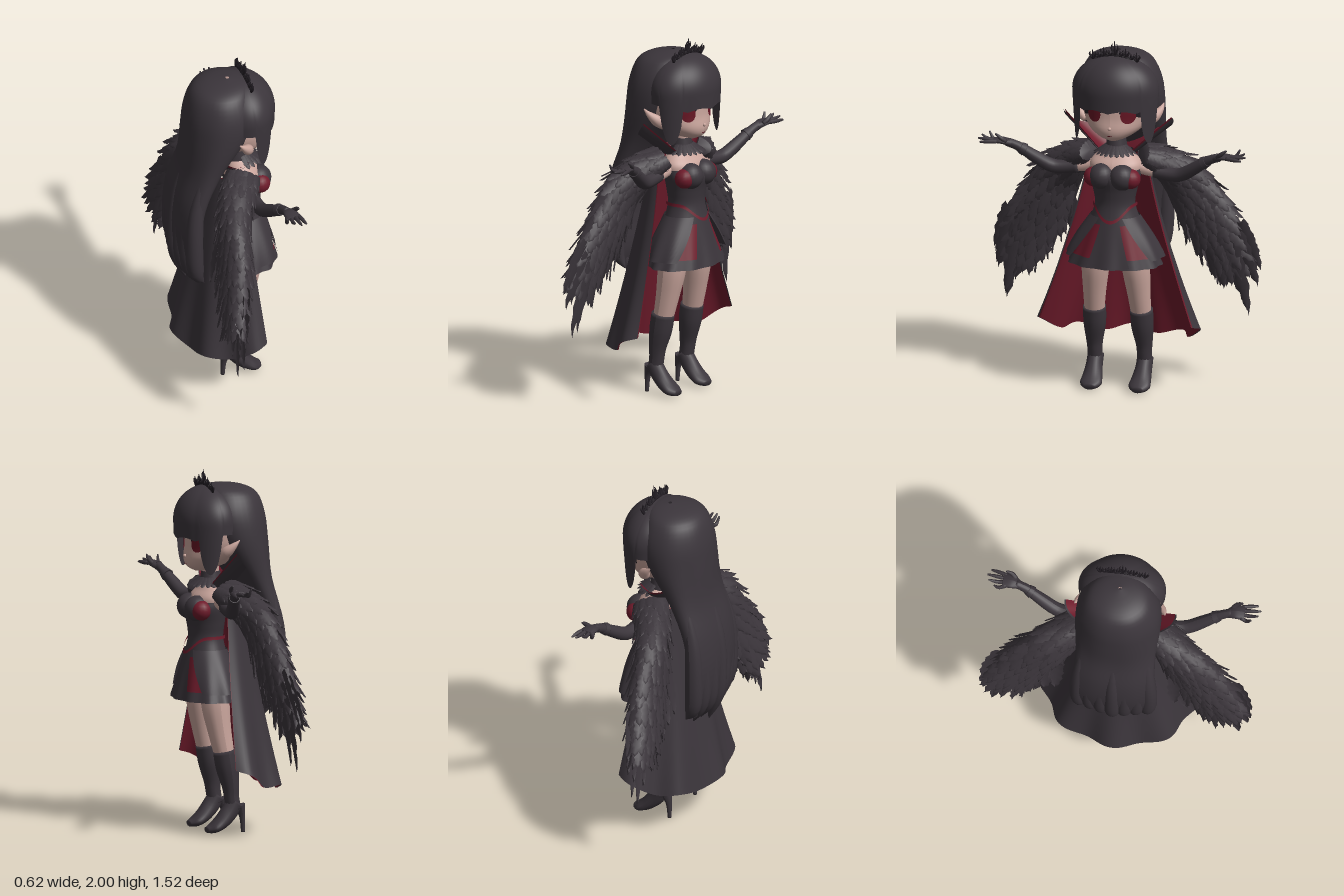
import * as THREE from 'three';
import { mergeGeometries } from 'three/addons/utils/BufferGeometryUtils.js';

const V = (x, y, z) => new THREE.Vector3(x, y, z);
const { sin, cos, abs, max, min, sqrt, pow, PI } = Math;
const material = (name, color) =>
  Object.assign(new THREE.MeshStandardMaterial({ color, side: THREE.DoubleSide }), { name });

// small seeded jitter
let seed = 7;
const rnd = () => ((seed = (seed * 16807) % 2147483647) / 2147483647) - 0.5;

// surface from a rule fn(u, v) -> Vector3, u and v in 0..1
function grid(nu, nv, fn) {
  const pos = [], idx = [];
  for (let j = 0; j <= nv; j++) for (let i = 0; i <= nu; i++) pos.push(...fn(i / nu, j / nv).toArray());
  for (let j = 0; j < nv; j++) for (let i = 0; i < nu; i++) {
    const a = j * (nu + 1) + i, b = a + nu + 1;
    idx.push(a, b, a + 1, b, b + 1, a + 1);
  }
  const g = new THREE.BufferGeometry();
  g.setAttribute('position', new THREE.Float32BufferAttribute(pos, 3));
  g.setIndex(idx);
  g.computeVertexNormals();
  return g;
}

// smooth interpolation through rows of numbers, all rows equally long
function sample(rows, t) {
  const n = rows.length - 1, i = min(n - 1, Math.floor(t * n)), f = t * n - i;
  const at = k => rows[max(0, min(n, k))];
  return rows[i].map((b, c) => {
    const a = at(i - 1)[c], d = at(i + 1)[c], e = at(i + 2)[c];
    return b + 0.5 * f * (d - a + f * (2 * a - 5 * b + 4 * d - e + f * (3 * (b - d) + e - a)));
  });
}

// stack of horizontal ellipses, rows [y, centreZ, radiusX, radiusZ]
const loft = (rows, ripple = () => 1, nv = 24) => grid(40, nv, (u, v) => {
  const [y, cz, rx, rz] = sample(rows, v), a = u * 2 * PI, k = ripple(a, v);
  return V(max(rx, 0.001) * sin(a) * k, y, cz + max(rz, 0.001) * cos(a) * k);
});

// tube along rows [x, y, z, radius, optional second radius], with closed ends
function frame(path, t, ref) {
  const rows = path.map(([x, y, z, a, b = a]) => [x, y, z, a, b]), at = s => sample(rows, max(0, min(1, s)));
  const [x, y, z, ra, rb] = at(t), T = V(...at(t + 0.01)).sub(V(...at(t - 0.01))).normalize();
  const N = ref.clone().cross(T).normalize();
  return { c: V(x, y, z), T, N, B: T.clone().cross(N), ra: max(ra, 0.001), rb: max(rb, 0.001) };
}
const sweep = (rows, ref = V(0, 0, 1), nu = 14, nv = 16) => grid(nu, nv + 2, (u, w) => {
  const f = frame(rows, min(1, max(0, (w * (nv + 2) - 1) / nv)), ref), a = u * 2 * PI, k = w === 0 || w === 1 ? 0 : 1;
  return f.c.addScaledVector(f.N, f.ra * cos(a) * k).addScaledVector(f.B, f.rb * sin(a) * k);
});

// one ragged feather with a raised quill
function feather(pos, dir, normal, len, wid) {
  const d = dir.clone().normalize(), s = normal.clone().cross(d).normalize(), n = d.clone().cross(s);
  return grid(2, 8, (u, v) => {
    const w = wid * (v === 1 ? 0 : pow(sin(PI * (0.18 + 0.8 * v)), 0.6)) * (Math.round(v * 8) % 2 ? 1 : 0.72);
    return pos.clone().addScaledVector(d, len * (v - (u === 0.5 ? 0 : 0.05)))
      .addScaledVector(s, (u - 0.5) * 2 * w).addScaledVector(n, u === 0.5 ? wid * 0.25 : 0);
  });
}

export function createModel() {
  const black = material('charcoal cloth', 0x3b353b), red = material('deep red', 0x6e1b2b);
  const skin = material('skin', 0xc9a59c), dark = material('eyelash black', 0x211c22), eyeRed = material('eye red', 0x661523);
  const body = new THREE.Group();
  body.name = 'figure';
  const add = (name, geo, mat, parent = body) => parent.add(Object.assign(new THREE.Mesh(geo, mat), { name }));

  // head
  const headRows = [[1.44, 0.17, 0.02, 0.02], [1.465, 0.145, 0.085, 0.09], [1.51, 0.105, 0.15, 0.145], [1.57, 0.075, 0.185, 0.165],
    [1.63, 0.065, 0.2, 0.172], [1.72, 0.06, 0.2, 0.17], [1.82, 0.05, 0.15, 0.13], [1.88, 0.05, 0.01, 0.01]];
  add('head', loft(headRows), skin);
  const faceZ = (x, y) => {
    let lo = 0, hi = 1;
    for (let i = 0; i < 20; i++) { const m = (lo + hi) / 2; if (sample(headRows, m)[0] < y) lo = m; else hi = m; }
    const [, cz, rx, rz] = sample(headRows, lo);
    return cz + rz * sqrt(max(0, 1 - (x / rx) ** 2));
  };
  const facePatch = (cx, cy, rx, ry, off, from = 0, to = 2 * PI) => grid(24, 4, (u, v) => {
    const a = from + (to - from) * u, x = cx + rx * v * cos(a), y = cy + ry * v * sin(a);
    return V(x, y, faceZ(x, y) + off);
  });
  add('nose', new THREE.SphereGeometry(0.01, 10, 8).translate(0, 1.525, 0.252), skin);
  add('mouth', facePatch(0, 1.482, 0.014, 0.003, 0.004), eyeRed);

  // long back hair with hanging locks
  add('backHair', loft([[1.922, 0.04, 0.01, 0.01], [1.905, 0.025, 0.11, 0.11], [1.86, 0.005, 0.18, 0.165], [1.75, 0, 0.228, 0.2],
    [1.6, -0.035, 0.237, 0.18], [1.4, -0.12, 0.222, 0.11], [1.2, -0.195, 0.225, 0.085], [1, -0.22, 0.23, 0.075],
    [0.8, -0.21, 0.215, 0.06], [0.7, -0.2, 0.17, 0.02]], (a, v) => 1 + 0.035 * v * (abs(sin(a * 4)) - 0.5), 36), black);
  for (let i = -3; i <= 3; i++) {
    const x = i * 0.062, z = 0.014 * abs(i), e = 0.61 + 0.018 * abs(i) + 0.02 * (i & 1);
    add('hairLock', sweep([[x * 0.9, 1.45, -0.18 + z, 0.02], [x, 1.2, -0.245 + z, 0.042], [x * 1.05, 0.98, -0.262 + z, 0.048],
      [x, 0.78, -0.25 + z, 0.044], [x * 0.93, e, -0.2 + z, 0.003]]), black);
  }
  // fringe and face-framing locks
  add('frontHair', grid(64, 24, (u, v) => {
    const a = (u - 0.5) * 3.8, d = abs(a), lock = max(0, sin((d - 0.85) / 0.65 * PI));
    const end = d < 0.85 ? 1.622 + 0.015 * abs(sin(a * 4.5)) : d < 1.5 ? 1.62 - 0.18 * sqrt(lock) : 1.66;
    const y = 1.912 - (1.912 - end) * pow(v, 1.35);
    const k = y > 1.72 ? sqrt(max(0, 1 - ((y - 1.72) / 0.192) ** 2)) : 1 - 0.35 * pow(1.72 - y, 1.2);
    const r = k * (0.97 + 0.04 * abs(sin(a * 2.25 + PI / 2)));
    return V(0.24 * r * sin(a), y, 0.115 + 0.185 * r * cos(a));
  }), black);

  // tiara
  add('tiaraBand', sweep([[-0.17, 1.84], [-0.09, 1.895], [0, 1.915], [0.09, 1.895], [0.17, 1.84]].map(p => [...p, 0.135, 0.007]), V(0, 0, 1), 6), dark);
  for (let i = -4; i <= 4; i++) for (const s of [-1, 0, 1]) {
    const x = i * 0.031, y = 1.91 - 1.6 * x * x, h = i === 0 ? 0.09 : i % 2 ? 0.038 : 0.058;
    add('tiaraSpike', sweep([[x, y, 0.135, 0.006], [x + s * 0.018, y + h * 0.5, 0.14, 0.006],
      [x + s * 0.012, y + (s ? h * 0.8 : h), 0.145, 0.001]], V(0, 0, 1), 6, 4), dark);
  }

  // neck, chest and bodice
  add('chest', loft([[1.47, 0.1, 0.045, 0.045], [1.39, 0.1, 0.048, 0.05], [1.345, 0.1, 0.11, 0.07], [1.29, 0.115, 0.145, 0.095], [1.2, 0.12, 0.12, 0.09]]), skin);
  add('bodice', loft([[1.275, 0.125, 0.142, 0.1], [1.23, 0.135, 0.143, 0.115], [1.15, 0.13, 0.122, 0.102],
    [1.07, 0.13, 0.112, 0.095], [0.97, 0.13, 0.145, 0.115]]), black);
  add('choker', new THREE.CylinderGeometry(0.052, 0.064, 0.07, 20).translate(0, 1.4, 0.1), black);
  const ruff = [];
  for (let a = -1.4; a < 1.5; a += 0.28) {
    const o = V(sin(a), 0, cos(a));
    ruff.push(feather(V(o.x * 0.055, 1.4, 0.105 + o.z * 0.055), V(o.x, -0.7, o.z), o, 0.085, 0.022));
  }
  add('neckRuff', mergeGeometries(ruff), black);

  // standing collar: dark outside, red lining
  const collar = off => grid(40, 8, (u, v) => {
    const w = u * 2 - 1, lo = V(0.1 * sin(w * 2.3), 1.35, 0.07 - 0.1 * cos(w * 2.3));
    const hi = V(0.31 * sin(w * 1.6), 1.46 + 0.1 * abs(w) ** 3, 0.06 - 0.12 * cos(w * 1.6));
    return lo.lerp(hi, v).add(V(-off * sin(w * 1.6), off * 0.6, off * cos(w * 1.6)));
  });
  add('collarOuter', collar(0), black);
  add('collarLining', collar(0.008), red);

  // skirt layers share one flaring rule; angle 0 is the front
  const skirt = (a, t, off) => {
    const w = 1 + 0.025 * t * cos(a * 11);
    return V((0.125 + 0.115 * t + off) * sin(a) * w, 1.01 - 0.24 * t, 0.13 + (0.102 + 0.06 * t + off) * cos(a) * w);
  };
  add('underskirt', grid(72, 8, (u, v) => skirt(u * 2 * PI, v, 0)), red);
  add('skirtFrill', grid(72, 3, (u, v) => skirt(u * 2 * PI, 0.93 + v * 0.22, 0.004)), black);
  add('frontPanel', grid(16, 8, (u, v) => skirt((u - 0.5) * (0.7 + 0.25 * v), v * 1.1, 0.01)), black);
  add('sidePanels', grid(60, 10, (u, v) => {
    const s = 0.5 + 0.5 * v, a = s + u * (2 * PI - 2 * s);
    return skirt(a, v * 0.95, 0.012 + 0.03 * sin(v * PI * 0.6) * abs(sin(a)));
  }), black);
  add('belt', grid(48, 2, (u, v) => {
    const a = u * 2 * PI, y = 1.085 - 0.085 * pow(max(0, cos(a)), 4) - 0.018 * v, f = 0.008 + max(0, 1.07 - y) * 0.26;
    return V((0.114 + f) * sin(a), y, 0.13 + (0.096 + f) * cos(a));
  }), red);

  // trailing cape with red lining
  const cape = off => grid(72, 24, (u, t) => {
    const w = u * 2 - 1, a = w * 1.62, fold = 1 + 0.05 * t * t * cos(a * 9), hem = 0.25 + 0.14 * abs(w) ** 3 + 0.015 * cos(a * 9);
    const R = (0.17 + 0.275 * pow(t, 1.25)) * fold - off, D = (0.12 + 0.25 * t) * fold - off;
    return V(R * sin(a), 1.32 - (1.32 - hem) * t, 0.06 + 0.04 * t - D * cos(a));
  });
  add('capeOuter', cape(0), black);
  add('capeLining', cape(0.008), red);

  // everything that exists on both sides
  for (const [name, mirror] of [['leftSide', 1], ['rightSide', -1]]) {
    const g = new THREE.Group(), put = (n, geo, mat) => add(n, geo, mat, g);
    g.name = name;
    g.scale.x = mirror;
    body.add(g);
    put('iris', facePatch(0.096, 1.597, 0.04, 0.044, 0.004), eyeRed);
    put('upperLash', facePatch(0.108, 1.602, 0.06, 0.052, 0.002, -0.5, PI * 0.95), dark);
    put('ear', sweep([[0.17, 1.53, 0.1, 0.022, 0.025], [0.21, 1.565, 0.085, 0.03, 0.032], [0.238, 1.6, 0.055, 0.018], [0.25, 1.632, 0.025, 0.002]]), skin);
    put('bustCup', new THREE.SphereGeometry(0.072, 20, 14).translate(0.058, 1.238, 0.2), black);
    put('bustSide', new THREE.SphereGeometry(0.055, 16, 12).translate(0.105, 1.232, 0.195), red);
    // leg and heeled boot
    put('leg', sweep([[0.105, 0.82, 0.12, 0.08], [0.115, 0.7, 0.115, 0.078], [0.125, 0.56, 0.095, 0.065], [0.133, 0.42, 0.068, 0.055]]), skin);
    put('bootShaft', sweep([[0.133, 0.455, 0.07, 0.064], [0.135, 0.36, 0.055, 0.063], [0.14, 0.26, 0.038, 0.048],
      [0.14, 0.2, 0.032, 0.042], [0.14, 0.13, 0.02, 0.042]]), black);
    put('bootFoot', sweep([[0.14, 0.17, 0.012, 0.045], [0.14, 0.115, 0.045, 0.048, 0.046], [0.138, 0.062, 0.092, 0.04, 0.055],
      [0.137, 0.03, 0.14, 0.028, 0.06], [0.137, 0.02, 0.178, 0.016, 0.03]], V(1, 0, 0)), black);
    put('bootHeel', sweep([[0.14, 0.15, -0.012, 0.034], [0.14, 0.09, -0.03, 0.017], [0.14, 0, -0.036, 0.011]]), black);
    // arm, glove and hand
    put('upperArm', sweep([[0.12, 1.28, 0.1, 0.036], [0.18, 1.265, 0.1, 0.034], [0.25, 1.255, 0.1, 0.032]]), skin);
    put('glove', sweep([[0.215, 1.258, 0.1, 0.035], [0.3, 1.248, 0.105, 0.037], [0.37, 1.255, 0.115, 0.038], [0.46, 1.31, 0.143, 0.034],
      [0.54, 1.365, 0.168, 0.026], [0.6, 1.388, 0.18, 0.024]]), black);
    put('gloveCuff', sweep([[0.505, 1.343, 0.157, 0.036], [0.53, 1.358, 0.165, 0.03]]), black);
    put('palm', sweep([[0.575, 1.38, 0.176, 0.02, 0.024], [0.62, 1.395, 0.185, 0.018, 0.04], [0.67, 1.395, 0.187, 0.013, 0.04]]), black);
    [0.71, 0.745, 0.757, 0.74].forEach((l, i) => {
      const z = 0.155 + i * 0.021, s = (i - 1.5) * 0.008;
      put('finger', sweep([[0.65, 1.395, z, 0.011], [(0.66 + l) / 2, 1.4 - 0.006 * abs(i - 2), z + s, 0.011],
        [l, 1.405 - 0.012 * (i - 2), z + s * 1.6, 0.005]], V(0, 0, 1), 8, 6), black);
    });
    put('thumb', sweep([[0.6, 1.395, 0.205, 0.013], [0.625, 1.42, 0.222, 0.012], [0.655, 1.442, 0.222, 0.005]], V(0, 0, 1), 8, 6), black);
    // feathered wing: padded core, overlapping rows and long primaries
    const path = [[0.15, 1.35, 0.08, 0.05, 0.09], [0.24, 1.29, 0.02, 0.08, 0.09], [0.34, 1.19, -0.04, 0.115, 0.075],
      [0.43, 1.04, -0.07, 0.13, 0.07], [0.51, 0.88, -0.1, 0.12, 0.06], [0.58, 0.73, -0.125, 0.07, 0.03]];
    put('wingCore', sweep(path, V(0, 0, 1), 24, 20), black);
    const plumes = [];
    for (let r = 0; r < 13; r++) for (let j = 0; j < 14; j++) {
      const t = r / 12.5, f = frame(path, t, V(0, 0, 1)), a = (j + (r % 2) / 2) / 14 * 2 * PI + rnd() * 0.2;
      const n = f.N.clone().multiplyScalar(cos(a) / f.ra).addScaledVector(f.B, sin(a) / f.rb).normalize();
      const p = f.c.clone().addScaledVector(f.N, f.ra * cos(a)).addScaledVector(f.B, f.rb * sin(a));
      const d = f.T.clone().addScaledVector(n, 0.16).addScaledVector(f.N, cos(a) * 0.15 + rnd() * 0.3);
      plumes.push(feather(p, d, n, 0.1 + 0.07 * t + rnd() * 0.03, 0.024 + 0.01 * t));
    }
    [[0.62, 0.8, 0.685, 0.4], [0.65, 0.85, 0.735, 0.57], [0.66, 0.92, 0.75, 0.66], [0.58, 0.78, 0.64, 0.5], [0.53, 0.8, 0.555, 0.55],
      [0.48, 0.85, 0.49, 0.62], [0.42, 0.93, 0.44, 0.7], [0.37, 0.97, 0.39, 0.76], [0.32, 1.05, 0.33, 0.8]].forEach(([x, y, X, Y], i) => {
      const d = V(X - x, Y - y, -0.05);
      for (const dz of [0, 0.035]) plumes.push(feather(V(x, y + dz, -0.1 + dz - 0.004 * i), d, V(0, 0, 1), d.length(), 0.04));
    });
    put('wingFeathers', mergeGeometries(plumes), black);
  }

  // the figure looks along +x
  body.rotation.y = PI / 2;
  const model = new THREE.Group();
  model.name = 'wingedLady';
  return model.add(body);
}
